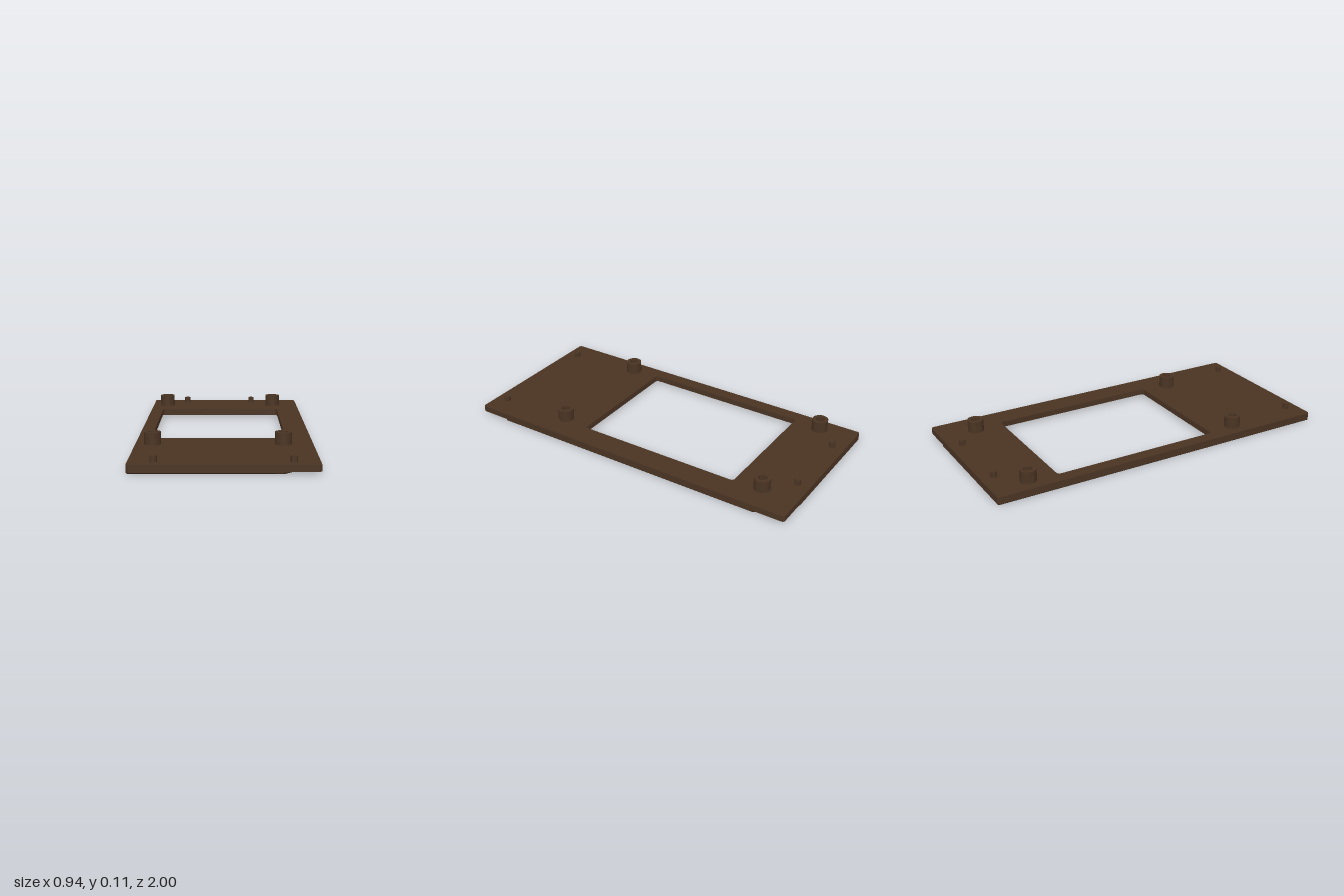
import * as THREE from 'three';
import { toCreasedNormals } from 'three/addons/utils/BufferGeometryUtils.js';

const HALF_W = 0.472, HALF_L = 1, TOP = 0.045;
const WINDOW = [-0.4, 0.335, -0.63, 0.34];

// Rounded rectangle in plan (shape x = x, shape y = z)
function roundedRect(path, x0, x1, z0, z1, r) {
  path.moveTo(x0 + r, z0);
  path.lineTo(x1 - r, z0);
  path.absarc(x1 - r, z0 + r, r, -Math.PI / 2, 0);
  path.lineTo(x1, z1 - r);
  path.absarc(x1 - r, z1 - r, r, 0, Math.PI / 2);
  path.lineTo(x0 + r, z1);
  path.absarc(x0 + r, z1 - r, r, Math.PI / 2, Math.PI);
  path.lineTo(x0, z0 + r);
  path.absarc(x0 + r, z0 + r, r, Math.PI, Math.PI * 1.5);
  return path;
}

function windowHole(grow) {
  const [x0, x1, z0, z1] = WINDOW;
  return roundedRect(new THREE.Path(), x0 - grow, x1 + grow, z0 - grow, z1 + grow, 0.018 + grow);
}

function polygon(points) {
  return new THREE.Shape(points.map(([x, z]) => new THREE.Vector2(x, z)));
}

// Horizontal slab between two heights
function slab(shape, bottom, top) {
  const g = new THREE.ExtrudeGeometry(shape, { depth: top - bottom, bevelEnabled: false, curveSegments: 12 });
  g.rotateX(Math.PI / 2);
  g.translate(0, top, 0);
  return g;
}

// Pull the lower rim inwards to make a chamfer
function chamferBottom(g, bottom, inset) {
  const p = g.attributes.position;
  for (let i = 0; i < p.count; i++) {
    if (p.getY(i) > bottom + 1e-4) continue;
    p.setX(i, THREE.MathUtils.clamp(p.getX(i), inset - HALF_W, HALF_W - inset));
    p.setZ(i, THREE.MathUtils.clamp(p.getZ(i), inset - HALF_L, HALF_L - inset));
  }
  g.computeVertexNormals();
  return g;
}

export function createModel() {
  const group = new THREE.Group();
  const brown = new THREE.MeshStandardMaterial({ color: 0x4a3423 });
  brown.name = 'dark brown';

  function add(name, geometry, x = 0, y = 0, z = 0) {
    const mesh = new THREE.Mesh(toCreasedNormals(geometry, 0.6), brown);
    mesh.name = name;
    mesh.position.set(x, y, z);
    group.add(mesh);
  }

  // Main plate with the window
  const plate = roundedRect(new THREE.Shape(), -HALF_W, HALF_W, -HALF_L, HALF_L, 0.015);
  plate.holes.push(windowHole(0));
  add('plate', slab(plate, 0.012, TOP));

  // Middle layer: two corners cut off, window rebated
  const middle = polygon([
    [-HALF_W + 0.01, -1], [0.29, -1], [HALF_W, -0.82], [HALF_W, 0.82],
    [0.29, 1], [-HALF_W + 0.01, 1], [-HALF_W, 0.99], [-HALF_W, -0.99],
  ]);
  middle.holes.push(windowHole(0.02));
  add('middleLayer', slab(middle, 0.005, 0.012));

  // Underside skin with an oval recess and a long slot recess
  const skin = polygon([
    [-HALF_W + 0.01, -1], [0.29, -1], [0.4, -0.891], [0.4, 0.891],
    [0.29, 1], [-HALF_W + 0.01, 1], [-HALF_W, 0.99], [-HALF_W, -0.99],
  ]);
  const oval = new THREE.Path();
  oval.absellipse(-0.03, -0.805, 0.18, 0.1, 0, Math.PI * 2);
  const slot = roundedRect(new THREE.Path(), -0.38, 0.33, 0.6, 0.7, 0.02);
  skin.holes.push(windowHole(0.025), oval, slot);
  add('undersideSkin', chamferBottom(slab(skin, 0, 0.005), 0, 0.005));

  // Narrow edge strip beside the fine groove
  const strip = polygon([[0.41, -0.881], [HALF_W, -0.82], [HALF_W, 0.82], [0.41, 0.881]]);
  add('edgeStrip', chamferBottom(slab(strip, 0, 0.005), 0, 0.005));

  // Hollow screw bosses
  const profile = [[0.024, 0], [0.045, 0], [0.045, 0.068], [0.024, 0.068], [0.024, 0]];
  for (const x of [-0.38, 0.312]) {
    for (const z of [-0.79, 0.5]) {
      const boss = new THREE.LatheGeometry(profile.map(([r, y]) => new THREE.Vector2(r, y)), 32);
      add('screwBoss', boss, x, TOP - 0.001, z);
    }
  }

  // Locating pins
  for (const [x, z] of [[-0.254, -0.927], [0.175, -0.927], [-0.344, 0.925], [0.341, 0.925]]) {
    add('locatingPin', new THREE.CylinderGeometry(0.018, 0.018, 0.034, 24), x, TOP + 0.015, z);
  }

  return group;
}
